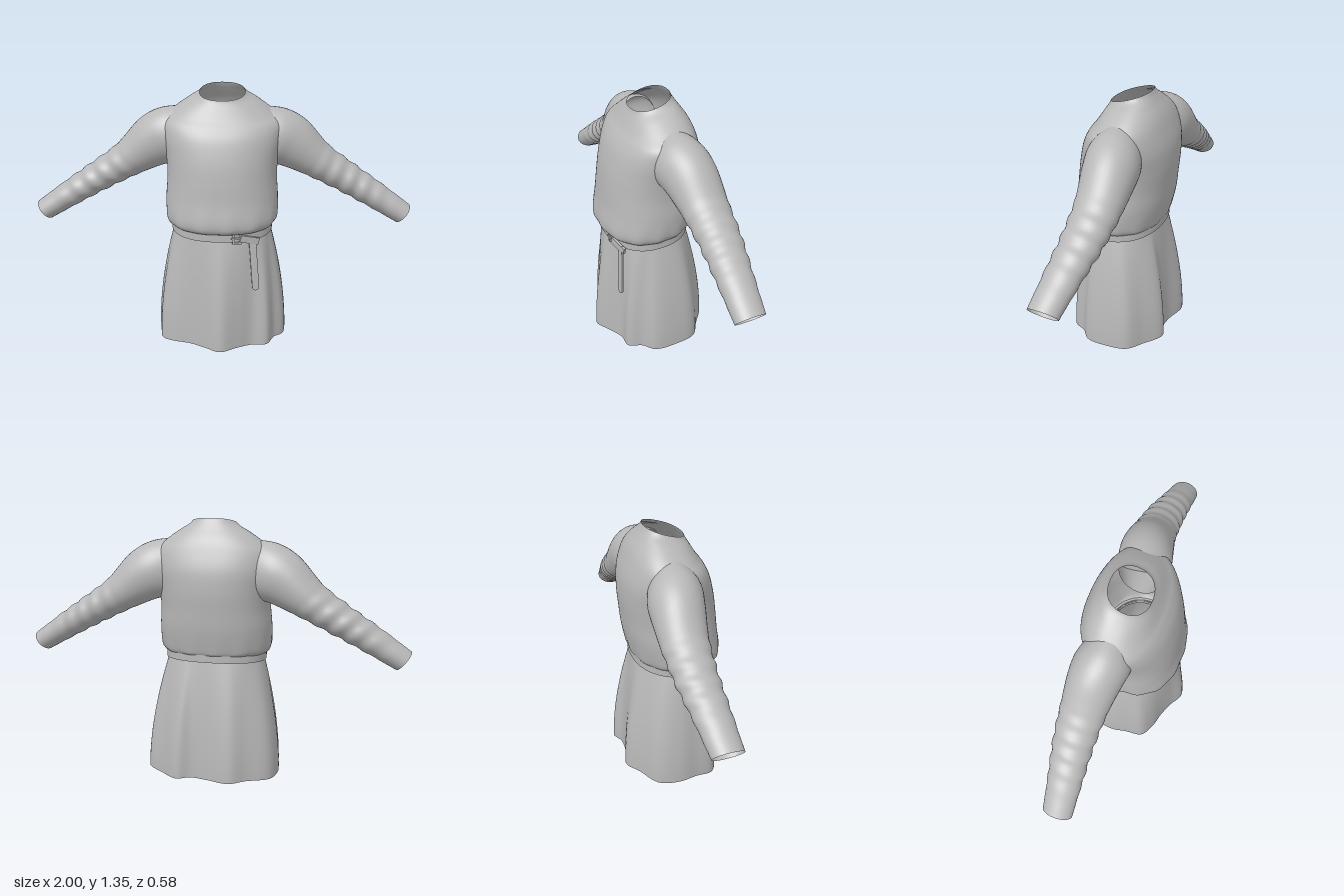
import * as THREE from 'three';
import { toCreasedNormals } from 'three/addons/utils/BufferGeometryUtils.js';

const cloth = new THREE.MeshStandardMaterial({ color: 0xb8b8b8, side: THREE.DoubleSide });
cloth.name = 'grey cloth';

// Surface through closed rings; point(u, v) with u around (0..1) and v along (0..1)
function loft(point, nu, nv) {
  const pos = [], idx = [];
  for (let j = 0; j <= nv; j++) {
    for (let i = 0; i < nu; i++) {
      pos.push(...point(i / nu, j / nv));
      if (j === nv) continue;
      const a = j * nu + i, b = j * nu + (i + 1) % nu;
      idx.push(a, b, b + nu, a, b + nu, a + nu);
    }
  }
  const g = new THREE.BufferGeometry();
  g.setAttribute('position', new THREE.Float32BufferAttribute(pos, 3));
  g.setIndex(idx);
  g.computeVertexNormals();
  return g;
}

// Smooth interpolation between rows of section numbers
function sample(rows, v) {
  const f = v * (rows.length - 1), i = Math.min(Math.floor(f), rows.length - 2), t = f - i;
  const row = k => rows[Math.max(0, Math.min(rows.length - 1, k))];
  return rows[0].map((_, c) => {
    const p0 = row(i - 1)[c], p1 = row(i)[c], p2 = row(i + 1)[c], p3 = row(i + 2)[c];
    const m1 = (p2 - p0) / 2, m2 = (p3 - p1) / 2, d = p2 - p1;
    return p1 + t * (m1 + t * (3 * d - 2 * m1 - m2 + t * (m1 + m2 - 2 * d)));
  });
}

// Rounded, slightly squarish ring tilted between its front and back heights
function ringPoint(u, [yFront, yBack, halfW, zFront, zBack], power = 2.3) {
  const a = u * Math.PI * 2, s = Math.sin(a), c = Math.cos(a);
  const r = Math.pow(Math.abs(s) ** power + Math.abs(c) ** power, -1 / power);
  const k = (1 + r * c) / 2;
  return [r * s * halfW, yBack + (yFront - yBack) * k, zBack + (zFront - zBack) * k];
}

function add(group, name, geometry) {
  const mesh = new THREE.Mesh(geometry, cloth);
  mesh.name = name;
  group.add(mesh);
  return mesh;
}

// Front height, back height, half width, front z, back z
const torsoRows = [
  [0.63, 0.66, 0.25, 0.2, -0.195],
  [0.652, 0.672, 0.275, 0.24, -0.21],
  [0.7, 0.7, 0.29, 0.25, -0.22],
  [0.8, 0.8, 0.291, 0.235, -0.24],
  [0.9, 0.9, 0.284, 0.225, -0.25],
  [1.0, 1.0, 0.29, 0.21, -0.257],
  [1.1, 1.1, 0.308, 0.182, -0.25],
  [1.16, 1.19, 0.305, 0.15, -0.222],
  [1.2, 1.25, 0.255, 0.12, -0.195],
  [1.25, 1.3, 0.185, 0.09, -0.16],
  [1.275, 1.33, 0.135, 0.076, -0.14],
  [1.29, 1.35, 0.115, 0.07, -0.13],
];

// Centre x, y, z, half height, half depth, downward slope in degrees
const sleeveRows = [
  [0.18, 1.1, -0.055, 0.145, 0.11, 10],
  [0.28, 1.085, -0.065, 0.148, 0.135, 18],
  [0.37, 1.045, -0.078, 0.135, 0.13, 30],
  [0.5, 0.95, -0.09, 0.098, 0.113, 37],
  [0.65, 0.86, -0.09, 0.081, 0.1, 36],
  [0.8, 0.77, -0.078, 0.07, 0.087, 35],
  [0.962, 0.667, -0.065, 0.058, 0.075, 38],
];

function sleevePoint(side) {
  return (u, v) => {
    const [x, y, z, h, d, deg] = sample(sleeveRows, v);
    const a = u * Math.PI * 2, t = deg * Math.PI / 180;
    // shallow gathers round the forearm
    const gather = Math.max(0, Math.sin((v - 0.45) / 0.5 * Math.PI)) * (v > 0.45 && v < 0.95 ? 1 : 0);
    const r = 1 + 0.045 * gather * Math.sin(v * 75 + 1.5 * Math.sin(a + side));
    const up = Math.cos(a) * h * r;
    return [side * (x + up * Math.sin(t)), y + up * Math.cos(t), z + side * Math.sin(a) * d * r];
  };
}

// Folded hem outline, anticlockwise from the middle of the front
const hem = new THREE.CatmullRomCurve3([
  [0, 0.288], [0.09, 0.245], [0.165, 0.205], [0.245, 0.2], [0.285, 0.13], [0.335, 0.08],
  [0.35, -0.04], [0.335, -0.15], [0.25, -0.215], [0.15, -0.285], [0.08, -0.258], [0, -0.258],
  [-0.13, -0.287], [-0.21, -0.235], [-0.32, -0.165], [-0.35, -0.05], [-0.335, 0.05],
  [-0.32, 0.14], [-0.25, 0.185], [-0.16, 0.212], [-0.08, 0.245],
].map(([x, z]) => new THREE.Vector3(x, 0, z)), true, 'centripetal');

function skirtPoint(u, v) {
  const p = hem.getPoint(u);
  const w = ringPoint(Math.atan2(p.x, p.z) / (Math.PI * 2), [0.62, 0.645, 0.25, 0.203, -0.195]);
  const bottom = 0.01 - p.z * 0.03 + 0.003 * Math.sin(u * 44);
  const k = Math.pow(v, 1.75);
  return [p.x + (w[0] - p.x) * k, bottom + (w[1] - bottom) * v, p.z + (w[2] - p.z) * k];
}

// Closed band with a thin rectangular section
function beltGeometry() {
  const profile = [[0, 0], [0.012, 0], [0.012, 1], [0, 1], [0, 0]];
  const g = loft((u, v) => {
    const [o, h] = profile[Math.round(v * 4)];
    return ringPoint(u, [0.598 + 0.043 * h, 0.633 + 0.043 * h, 0.252 + o, 0.206 + o, -0.196 - o]);
  }, 72, 4);
  return toCreasedNormals(g, 0.7);
}

// Strip with a rounded lower end, hanging down from the origin
function strapGeometry(width, length, depth) {
  const r = width / 2, s = new THREE.Shape();
  s.moveTo(r, 0);
  s.lineTo(-r, 0);
  s.lineTo(-r, r - length);
  s.absarc(0, r - length, r, Math.PI, Math.PI * 2, false);
  s.closePath();
  return new THREE.ExtrudeGeometry(s, { depth, bevelEnabled: false, curveSegments: 10 });
}

// Rectangular frame for the fastening
function buckleGeometry(w, h, rim) {
  const box = (P, a, b) => new P([[-a, -b], [a, -b], [a, b], [-a, b]].map(p => new THREE.Vector2(...p)));
  const s = box(THREE.Shape, w / 2, h / 2);
  s.holes.push(box(THREE.Path, w / 2 - rim, h / 2 - rim));
  return new THREE.ExtrudeGeometry(s, { depth: 0.012, bevelEnabled: false });
}

export function createModel() {
  const model = new THREE.Group();
  model.name = 'beltedTunic';

  add(model, 'torso', loft((u, v) => {
    const p = ringPoint(u, sample(torsoRows, v));
    // soft gathers where the cloth blouses over the belt
    const k = 1 + 0.012 * Math.sin(u * 88) * Math.max(0, 1 - Math.abs(v - 0.12) / 0.14);
    return [p[0] * k, p[1], p[2] * k];
  }, 88, 66));
  add(model, 'leftSleeve', loft(sleevePoint(1), 40, 90));
  add(model, 'rightSleeve', loft(sleevePoint(-1), 40, 90));
  add(model, 'skirt', loft(skirtPoint, 126, 24));

  // Belt and fastening
  const belt = new THREE.Group();
  belt.name = 'beltAssembly';
  model.add(belt);
  add(belt, 'belt', beltGeometry());

  const buckle = add(belt, 'buckle', buckleGeometry(0.045, 0.065, 0.009));
  buckle.position.set(0.08, 0.622, 0.208);
  buckle.rotation.y = 0.15;
  const prong = add(belt, 'buckleProng', new THREE.BoxGeometry(0.05, 0.008, 0.008));
  prong.position.set(0.078, 0.622, 0.221);
  prong.rotation.y = 0.15;

  const fold = add(belt, 'strapFold', new THREE.BoxGeometry(0.1, 0.036, 0.014));
  fold.position.set(0.145, 0.61, 0.205);
  fold.rotation.set(0, 0.3, -0.25);
  const strap = add(belt, 'hangingStrap', strapGeometry(0.036, 0.29, 0.01));
  strap.position.set(0.158, 0.62, 0.193);
  strap.rotation.set(-0.06, 0.15, 0.08);

  return model;
}
